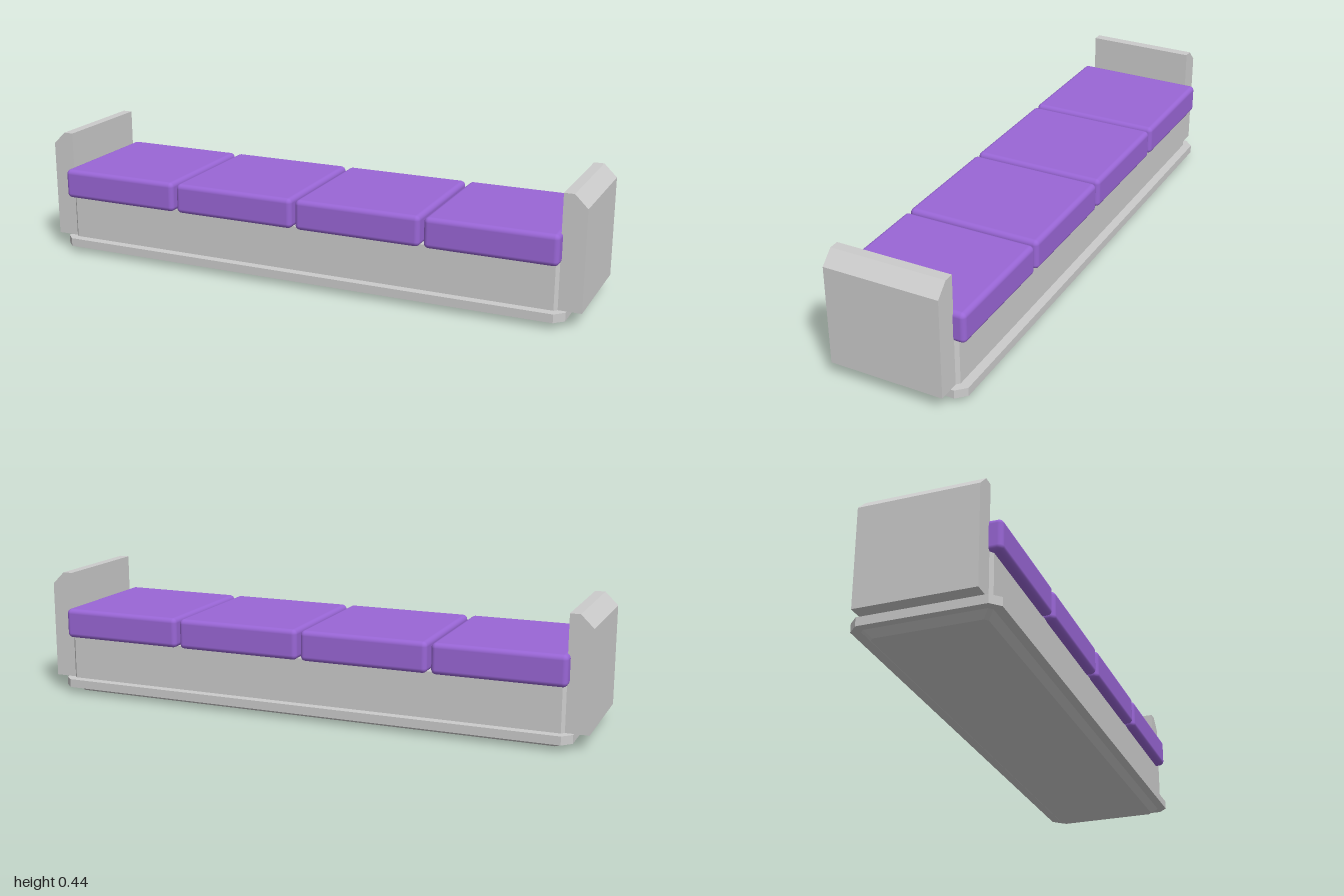
import * as THREE from 'three';
import { RoundedBoxGeometry } from 'three/addons/geometries/RoundedBoxGeometry.js';

const grey = new THREE.MeshStandardMaterial({ color: 0xcccccc, flatShading: true });
const purple = new THREE.MeshStandardMaterial({ color: 0x9966d6 });

// Rectangle in plan with cut corners
function cutRectangle(halfX, halfZ, cut) {
  return new THREE.Shape([
    [halfX, -halfZ + cut], [halfX, halfZ - cut], [halfX - cut, halfZ], [-halfX + cut, halfZ],
    [-halfX, halfZ - cut], [-halfX, -halfZ + cut], [-halfX + cut, -halfZ], [halfX - cut, -halfZ],
  ].map(([x, z]) => new THREE.Vector2(x, z)));
}

// Upright slab with cut corners, from height y0 to y1
function slab(name, halfX, halfZ, cut, y0, y1) {
  const geometry = new THREE.ExtrudeGeometry(cutRectangle(halfX, halfZ, cut), { depth: y1 - y0, bevelEnabled: false });
  geometry.rotateX(-Math.PI / 2).translate(0, y0, 0);
  const mesh = new THREE.Mesh(geometry, grey);
  mesh.name = name;
  return mesh;
}

export function createModel() {
  const bench = new THREE.Group();
  bench.name = 'bench';

  // Foot, tapering inwards towards the floor
  const foot = slab('foot', 0.922, 0.211, 0.012, 0, 0.022);
  const points = foot.geometry.attributes.position;
  for (let i = 0; i < points.count; i++) {
    if (points.getY(i) < 0.01) {
      points.setX(i, points.getX(i) - Math.sign(points.getX(i)) * 0.022);
      points.setZ(i, points.getZ(i) - Math.sign(points.getZ(i)) * 0.022);
    }
  }
  foot.geometry.computeVertexNormals();
  bench.add(foot);

  // Projecting trim and the seat box
  bench.add(slab('baseTrim', 0.95, 0.243, 0.032, 0.022, 0.052));
  bench.add(slab('seatBox', 0.922, 0.211, 0.012, 0.052, 0.212));

  // End panels with a sloped outer top edge
  const profile = new THREE.Shape([
    [0.92, 0.052], [1, 0.052], [1, 0.4], [0.955, 0.444], [0.92, 0.444],
  ].map(([x, y]) => new THREE.Vector2(x, y)));
  for (const side of [1, -1]) {
    const geometry = new THREE.ExtrudeGeometry(profile, { depth: 0.4, bevelEnabled: false });
    geometry.translate(0, 0, -0.2);
    if (side < 0) geometry.rotateY(Math.PI);
    const panel = new THREE.Mesh(geometry, grey);
    panel.name = side > 0 ? 'leftEndPanel' : 'rightEndPanel';
    bench.add(panel);
  }

  // Row of four seat cushions
  for (let i = 0; i < 4; i++) {
    const cushion = new THREE.Mesh(new RoundedBoxGeometry(0.453, 0.107, 0.483, 4, 0.017), purple);
    cushion.name = `cushion${i + 1}`;
    cushion.position.set((i - 1.5) * 0.467 - 0.002, 0.2625, 0.002);
    bench.add(cushion);
  }

  return bench;
}
